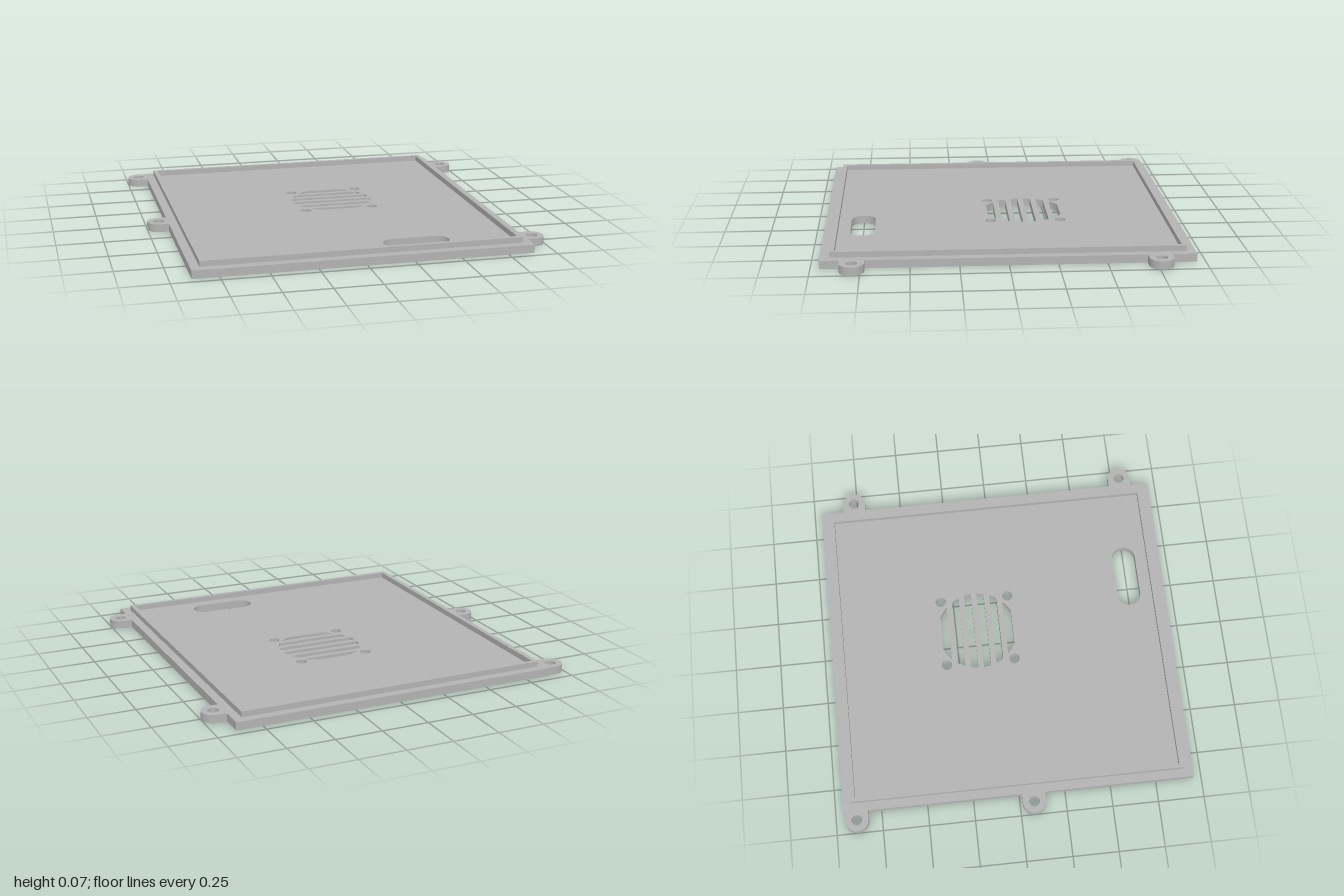
import * as THREE from 'three';
import { toCreasedNormals } from 'three/addons/utils/BufferGeometryUtils.js';

const PLATE_H = 0.043, RIM_TOP = 0.073;

// Shapes are drawn in plan with y = -z, then extruded upwards.
function slab(shape, y0, y1, material, name) {
  const geometry = new THREE.ExtrudeGeometry(shape, { depth: y1 - y0, bevelEnabled: false, curveSegments: 20 });
  geometry.rotateX(-Math.PI / 2);
  geometry.translate(0, y0, 0);
  const mesh = new THREE.Mesh(toCreasedNormals(geometry, 0.5), material);
  mesh.name = name;
  return mesh;
}

function rect(Type, x0, x1, z0, z1) {
  return new Type([[x0, -z0], [x0, -z1], [x1, -z1], [x1, -z0]].map(([x, y]) => new THREE.Vector2(x, y)));
}

function roundHole(x, z, r) {
  const path = new THREE.Path();
  path.absarc(x, -z, r, 0, Math.PI * 2, true);
  return path;
}

// Horizontal band z0..z1 of a circle, used for the vent slots
function ventSlot(cx, cz, r, z0, z1) {
  const points = [], n = 8;
  for (const side of [1, -1]) {
    for (let i = 0; i <= n; i++) {
      const t = side > 0 ? i / n : 1 - i / n;
      const dz = z0 + (z1 - z0) * t;
      points.push(new THREE.Vector2(cx + side * Math.sqrt(r * r - dz * dz), -(cz + dz)));
    }
  }
  return new THREE.Path(points);
}

// Mounting ear: straight sides at the plate edge, round outer end, screw hole
function earShape(side, z) {
  const edge = 0.89, cx = 0.937, r = 0.063;
  const shape = new THREE.Shape();
  shape.moveTo(side * edge, -z - side * r);
  shape.lineTo(side * cx, -z - side * r);
  const start = side > 0 ? -Math.PI / 2 : Math.PI / 2;
  shape.absarc(side * cx, -z, r, start, start + Math.PI, false);
  shape.lineTo(side * edge, -z + side * r);
  shape.closePath();
  shape.holes.push(roundHole(side * cx, z, 0.029));
  return shape;
}

export function createModel() {
  const model = new THREE.Group();
  model.name = 'enclosureLid';
  const grey = new THREE.MeshStandardMaterial({ color: 0xb3b3b3 });
  grey.name = 'grey';

  // Base plate with its openings
  const plate = rect(THREE.Shape, -0.89, 0.89, -0.955, 0.955);

  // Fan vent: six slots cut from a circle, and four screw holes
  const fx = 0.078, fz = -0.13, pitch = 0.0715, bar = 0.031;
  for (let i = -3; i < 3; i++) {
    const z0 = i === -3 ? -0.2 : i * pitch + bar / 2;
    const z1 = i === 2 ? 0.2 : (i + 1) * pitch - bar / 2;
    plate.holes.push(ventSlot(fx, fz, 0.223, z0, z1));
  }
  for (const sx of [-1, 1]) {
    for (const sz of [-1, 1]) plate.holes.push(roundHole(fx + sx * 0.19, fz + sz * 0.19, 0.029));
  }

  // Rounded cable opening near the front
  const cable = new THREE.Path();
  cable.absarc(0.429, -0.751, 0.065, Math.PI / 2, -Math.PI / 2, true);
  cable.absarc(0.204, -0.751, 0.065, -Math.PI / 2, -Math.PI * 1.5, true);
  cable.closePath();
  plate.holes.push(cable);
  model.add(slab(plate, 0, PLATE_H, grey, 'basePlate'));

  // Raised locating rim
  const rim = rect(THREE.Shape, -0.843, 0.843, -0.909, 0.906);
  rim.holes.push(rect(THREE.Path, -0.819, 0.819, -0.886, 0.882));
  model.add(slab(rim, PLATE_H, RIM_TOP, grey, 'rim'));

  // Four mounting ears
  for (const [side, z, name] of [
    [-1, -0.885, 'rightBackEar'], [-1, 0.077, 'rightMiddleEar'],
    [1, -0.766, 'leftBackEar'], [1, 0.791, 'leftFrontEar'],
  ]) model.add(slab(earShape(side, z), 0, PLATE_H, grey, name));

  return model;
}
